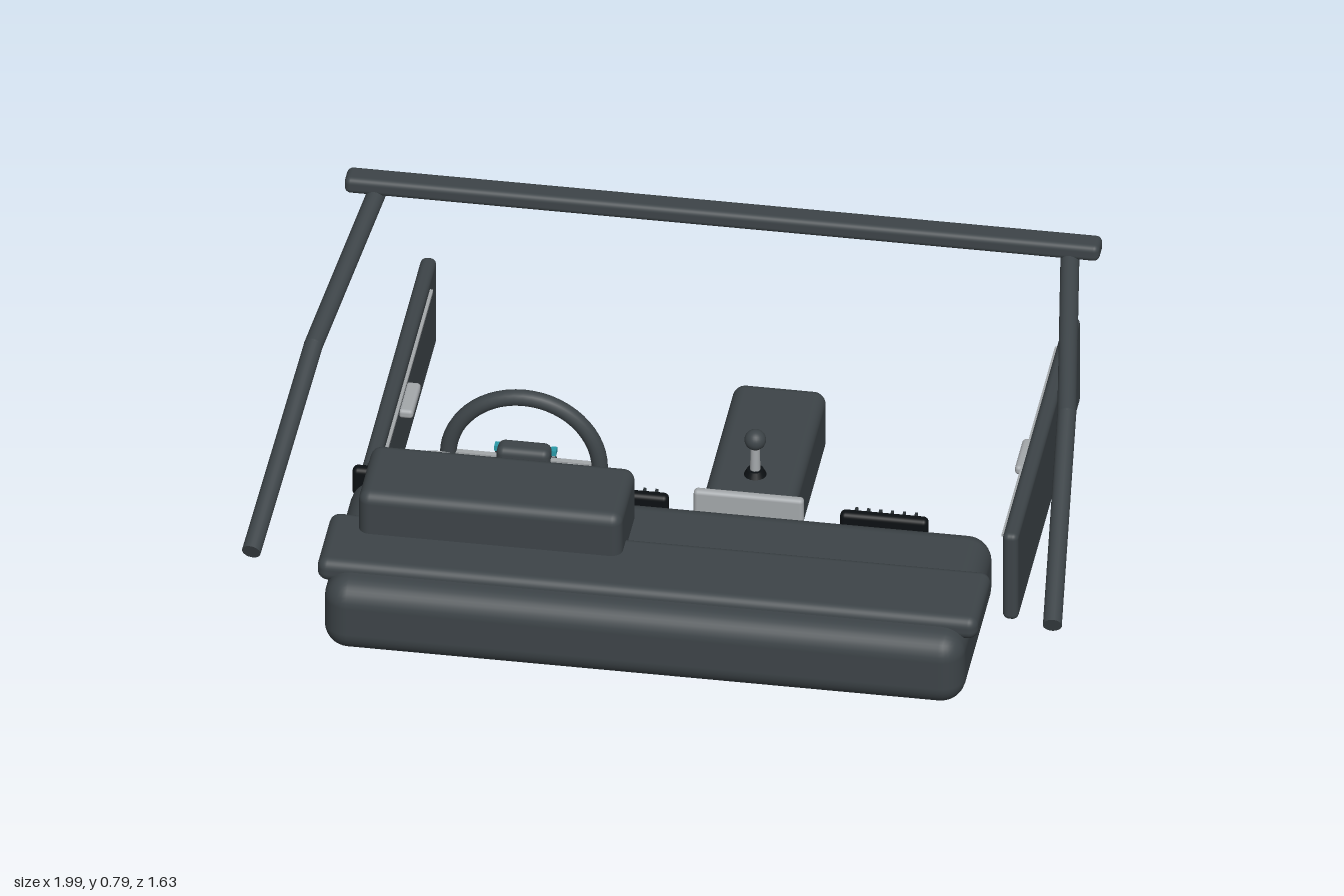
import * as THREE from 'three';
import { RoundedBoxGeometry } from 'three/addons/geometries/RoundedBoxGeometry.js';

const mat = (color) => new THREE.MeshStandardMaterial({ color });
const trim = mat(0x3d4448), black = mat(0x0c1013), slatGrey = mat(0x2a3034), silver = mat(0xa4a8ab);
const orange = mat(0xe07820), teal = mat(0x2a9aa8), white = mat(0xe8e8e8);

function add(parent, name, geometry, material, x = 0, y = 0, z = 0) {
  const mesh = new THREE.Mesh(geometry, material);
  mesh.name = name;
  mesh.position.set(x, y, z);
  parent.add(mesh);
  return mesh;
}

// Rounded block given by its limits on each axis
function block(parent, name, material, [x0, x1], [y0, y1], [z0, z1], radius) {
  const geometry = new RoundedBoxGeometry(x1 - x0, y1 - y0, z1 - z0, 4, radius);
  return add(parent, name, geometry, material, (x0 + x1) / 2, (y0 + y1) / 2, (z0 + z1) / 2);
}

// Round bar between two points
function rod(parent, name, material, a, b, radius) {
  const dir = b.clone().sub(a);
  const mesh = add(parent, name, new THREE.CylinderGeometry(radius, radius, dir.length(), 20), material);
  mesh.position.copy(a).addScaledVector(dir, 0.5);
  mesh.quaternion.setFromUnitVectors(new THREE.Vector3(0, 1, 0), dir.normalize());
  return mesh;
}

function group(parent, name, x = 0, y = 0, z = 0) {
  const g = new THREE.Group();
  g.name = name;
  g.position.set(x, y, z);
  parent.add(g);
  return g;
}

// Instrument dial, facing -z and leaning back
function gauge(parent, x, needleAngle) {
  const g = group(parent, 'gauge', x, 0.43, 0.36);
  g.rotation.x = 0.2;
  add(g, 'dialFace', new THREE.CylinderGeometry(0.118, 0.118, 0.012, 40), black).rotation.x = Math.PI / 2;
  add(g, 'dialBezel', new THREE.TorusGeometry(0.118, 0.005, 8, 48), silver, 0, 0, -0.004);
  for (let i = 0; i <= 10; i++) {
    const a = -0.5 + (i / 10) * (Math.PI + 1);
    add(g, 'dialTick', new THREE.BoxGeometry(0.016, 0.004, 0.003), white,
      Math.cos(a) * 0.1, Math.sin(a) * 0.1, -0.007).rotation.z = a;
  }
  const needle = add(g, 'needle', new THREE.BoxGeometry(0.08, 0.006, 0.004), orange,
    Math.cos(needleAngle) * 0.04, Math.sin(needleAngle) * 0.04, -0.01);
  needle.rotation.z = needleAngle;
  add(g, 'dialHub', new THREE.CylinderGeometry(0.01, 0.01, 0.02, 16), silver, 0, 0, -0.008).rotation.x = Math.PI / 2;
}

// Air vent with upright slats
function vent(parent, x) {
  const g = group(parent, 'airVent', x, 0.375, 0);
  block(g, 'ventHousing', black, [-0.107, 0.107], [-0.04, 0.04], [0.262, 0.293], 0.013);
  for (let i = 0; i < 6; i++)
    add(g, 'ventSlat', new THREE.BoxGeometry(0.007, 0.056, 0.025), slatGrey, (i - 2.5) * 0.029, 0, 0.253);
}

function steeringWheel(parent) {
  const g = group(parent, 'steeringWheel', -0.402, 0.355, 0.107);
  add(g, 'wheelRim', new THREE.TorusGeometry(0.184, 0.02, 16, 56), trim);
  block(g, 'wheelHub', trim, [-0.065, 0.065], [-0.045, 0.045], [-0.03, 0.025], 0.018);
  for (const a of [0, Math.PI, -Math.PI / 2])
    add(g, 'wheelSpoke', new THREE.BoxGeometry(0.13, 0.026, 0.014), silver,
      Math.cos(a) * 0.115, Math.sin(a) * 0.115, 0).rotation.z = a;
  add(g, 'hubButton', new THREE.CylinderGeometry(0.01, 0.01, 0.012, 16), orange, 0, 0.018, -0.033).rotation.x = Math.PI / 2;
  for (const s of [-1, 1]) {
    add(g, 'thumbButton', new THREE.BoxGeometry(0.014, 0.014, 0.02), teal, s * 0.068, 0.018, -0.026);
    add(g, 'thumbButton', new THREE.BoxGeometry(0.014, 0.014, 0.02), slatGrey, s * 0.068, -0.008, -0.022);
  }
}

export function createModel() {
  const model = new THREE.Group();
  model.name = 'carInterior';

  // Dashboard, top pad and instrument hood
  const dash = group(model, 'dashboard');
  block(dash, 'dashBody', trim, [-0.78, 0.775], [0.235, 0.43], [0.315, 0.815], 0.06);
  block(dash, 'dashPad', trim, [-0.803, 0.8], [0.392, 0.453], [0.52, 0.745], 0.025);
  block(dash, 'instrumentHood', trim, [-0.725, -0.085], [0.36, 0.565], [0.383, 0.61], 0.028);
  gauge(dash, -0.565, 2.2);
  gauge(dash, -0.245, 1.0);
  for (const x of [-0.683, -0.13, 0.5]) vent(dash, x);

  // Central screen and its knobs
  block(dash, 'screenBezel', silver, [0.038, 0.305], [0.27, 0.44], [0.266, 0.29], 0.01);
  block(dash, 'screen', black, [0.056, 0.287], [0.288, 0.422], [0.261, 0.272], 0.003);
  for (let i = 0; i < 3; i++) {
    add(dash, 'screenRow', new THREE.BoxGeometry(0.1 - i * 0.02, 0.008, 0.003), i ? teal : white, 0.17, 0.385 - i * 0.03, 0.2605);
    const knob = group(dash, 'controlKnob', 0.09 + i * 0.092, 0.24, 0.25);
    add(knob, 'knobBody', new THREE.CylinderGeometry(0.018, 0.018, 0.034, 24), silver).rotation.x = Math.PI / 2;
    add(knob, 'knobMark', new THREE.BoxGeometry(0.003, 0.012, 0.004), white, 0, 0.008, -0.017);
  }

  steeringWheel(model);

  // Centre console with the gear lever
  const con = group(model, 'centreConsole');
  block(con, 'consoleBody', trim, [0, 0.225], [0.005, 0.175], [-0.57, 0.28], 0.03);
  add(con, 'leverBoot', new THREE.CylinderGeometry(0.02, 0.03, 0.02, 20), black, 0.112, 0.18, -0.185);
  add(con, 'gearLever', new THREE.CylinderGeometry(0.011, 0.013, 0.1, 16), silver, 0.112, 0.22, -0.185);
  add(con, 'gearKnob', new THREE.SphereGeometry(0.026, 24, 16), trim, 0.112, 0.275, -0.185);

  // Door panels and windscreen pillars, mirrored
  for (const s of [-1, 1]) {
    const span = (a, b) => (s > 0 ? [a, b] : [-b, -a]);
    const door = group(model, s > 0 ? 'leftDoor' : 'rightDoor');
    block(door, 'doorPanel', trim, span(0.762, 0.8), [0.035, 0.283], [-0.815, 0.13], 0.015);
    block(door, 'doorHandle', silver, span(0.73, 0.766), [0.193, 0.217], [-0.38, -0.253], 0.009);
    add(door, 'doorTrimStrip', new THREE.BoxGeometry(0.009, 0.008, 0.8), silver, s * 0.759, 0.255, -0.31);

    const pillar = group(model, s > 0 ? 'leftPillar' : 'rightPillar');
    const p = [[0.972, 0.415, 0.675], [0.914, 0.632, 0.1], [0.838, 0.747, -0.42]]
      .map(([x, y, z]) => new THREE.Vector3(s * x, y, z));
    rod(pillar, 'lowerPillar', trim, p[0], p[1], 0.023);
    rod(pillar, 'upperPillar', trim, p[1], p[2], 0.023);
    add(pillar, 'pillarJoint', new THREE.SphereGeometry(0.023, 20, 14), trim).position.copy(p[1]);
  }

  // Header bar across the pillars
  block(model, 'headerBar', trim, [-0.917, 0.915], [0.746, 0.79], [-0.438, -0.375], 0.015);
  return model;
}
